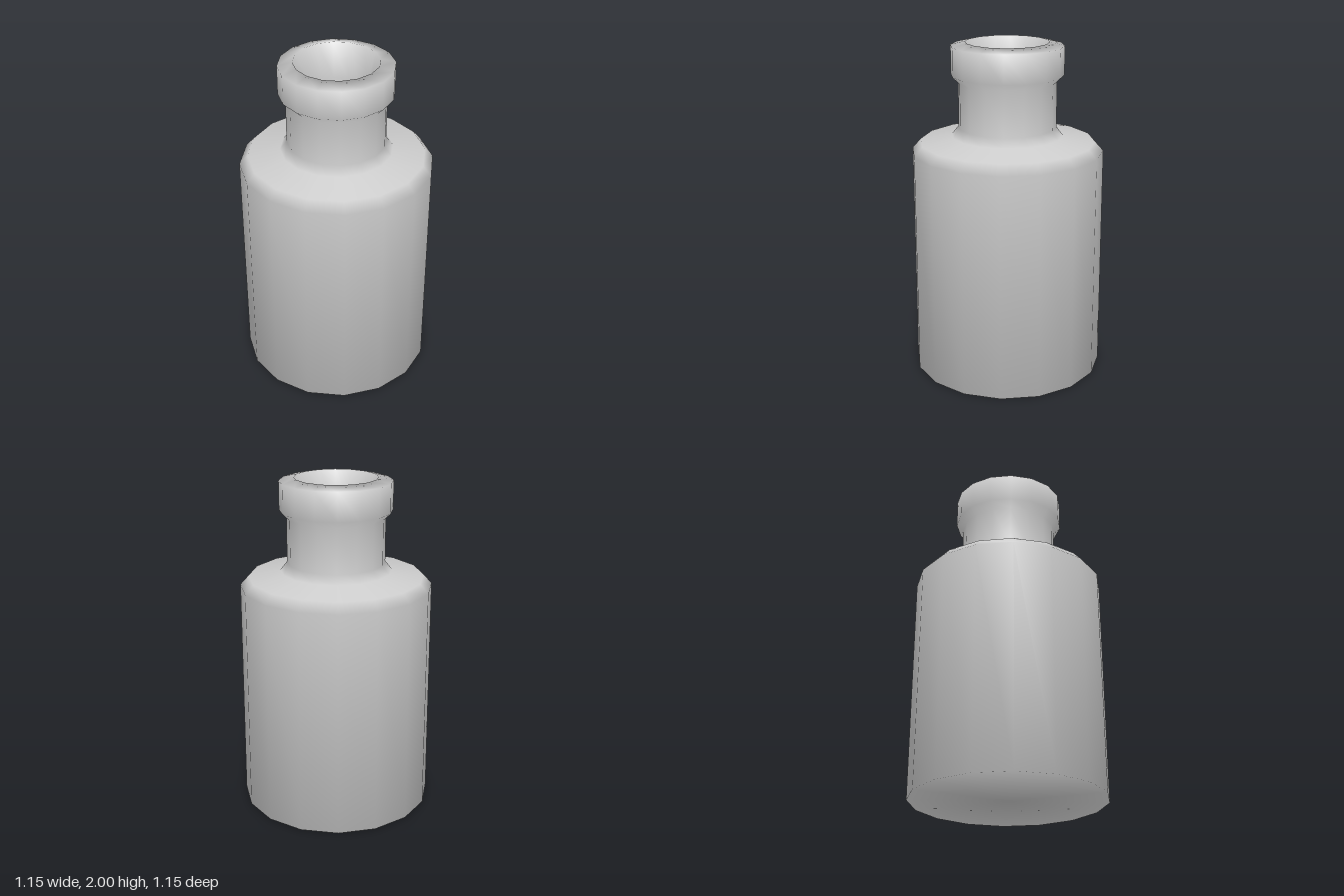
import * as THREE from 'three';

const SIDES = 16;

function lathe(name, points, material) {
  const profile = points.map(([r, y]) => new THREE.Vector2(r, y));
  const mesh = new THREE.Mesh(new THREE.LatheGeometry(profile, SIDES), material);
  mesh.name = name;
  return mesh;
}

export function createModel() {
  const group = new THREE.Group();
  group.name = 'bottle';
  const material = new THREE.MeshStandardMaterial({ color: 0xcccccc, side: THREE.DoubleSide });

  // One smooth skin: base, wall, shoulder, neck, lip, then down inside the neck
  group.add(lathe('bottleShell', [
    [0, 0],
    [0.577, 0],
    [0.57, 1.36],
    [0.52, 1.415],
    [0.33, 1.45],
    [0.29, 1.5],
    [0.29, 1.77],
    [0.332, 1.81],
    [0.332, 1.98],
    [0.245, 2],
    [0.19, 1.8],
    [0.19, 1.45],
  ], material));

  return group;
}
